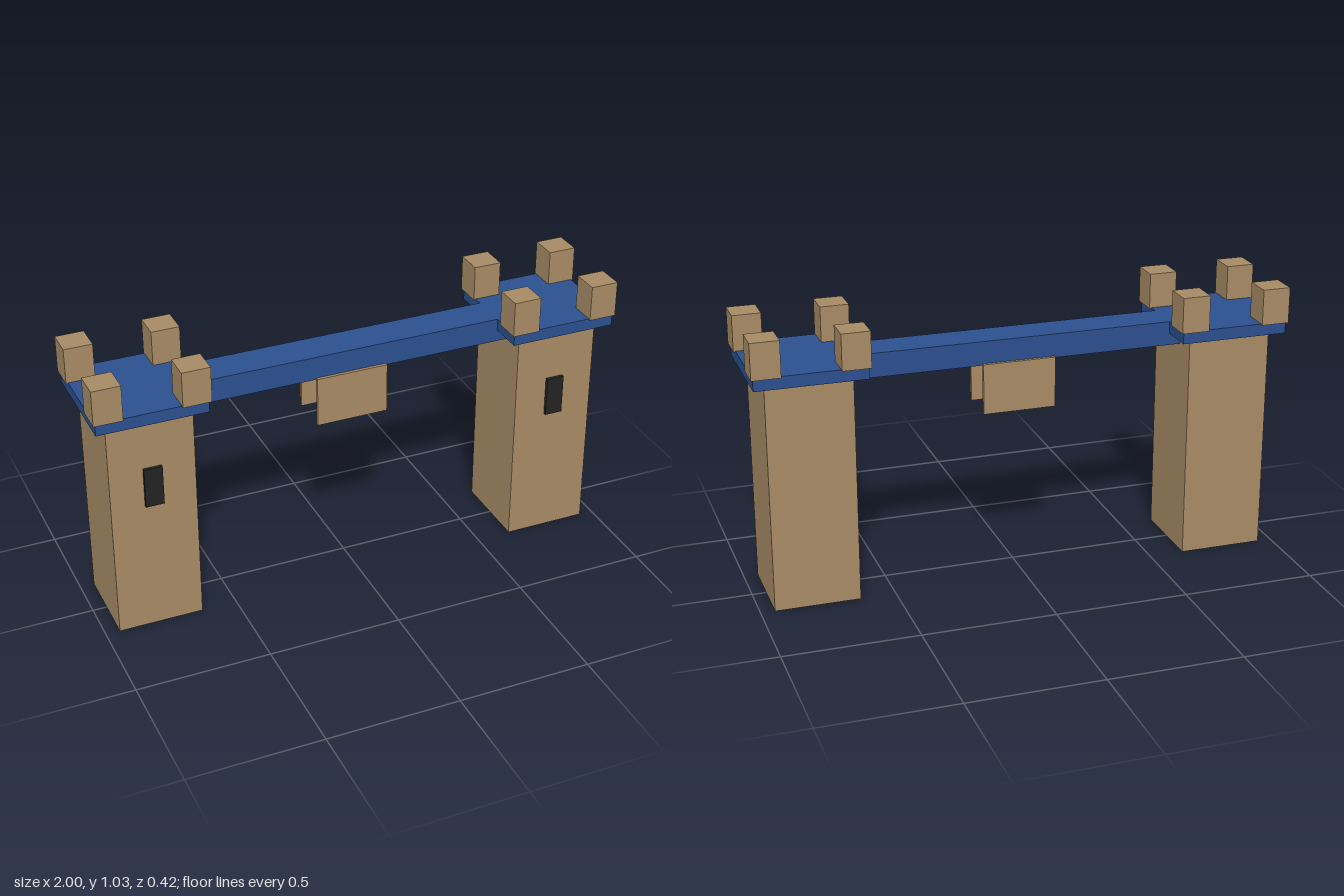
import * as THREE from 'three';

const sandstone = new THREE.MeshStandardMaterial({ name: 'sandstone', color: 0xa68a64 });
const deckBlue = new THREE.MeshStandardMaterial({ name: 'deckBlue', color: 0x2b4f8e });
const windowBlack = new THREE.MeshStandardMaterial({ name: 'windowBlack', color: 0x222222 });

// Adds a box given its size and centre
function addBox(parent, name, material, [w, h, d], [x, y, z]) {
  const mesh = new THREE.Mesh(new THREE.BoxGeometry(w, h, d), material);
  mesh.name = name;
  mesh.position.set(x, y, z);
  parent.add(mesh);
}

// Square tower with a wider deck, corner battlements and a front window
function createTower(name) {
  const tower = new THREE.Group();
  tower.name = name;
  addBox(tower, 'towerShaft', sandstone, [0.316, 0.857, 0.316], [0, 0.4285, 0]);
  addBox(tower, 'towerDeck', deckBlue, [0.406, 0.045, 0.406], [0, 0.8795, 0]);
  for (const sx of [-1, 1]) {
    for (const sz of [-1, 1]) {
      addBox(tower, 'battlement', sandstone, [0.105, 0.135, 0.105], [sx * 0.158, 0.966, sz * 0.158]);
    }
  }
  addBox(tower, 'window', windowBlack, [0.068, 0.152, 0.013], [0, 0.584, 0.1645]);
  return tower;
}

export function createModel() {
  const model = new THREE.Group();
  model.name = 'towerBridge';

  for (const side of [-1, 1]) {
    const tower = createTower(side > 0 ? 'leftTower' : 'rightTower');
    tower.position.x = side * 0.7895;
    model.add(tower);
  }

  // Walkway between the towers
  addBox(model, 'walkway', deckBlue, [1.266, 0.09, 0.142], [0, 0.857, 0]);

  // Thin panels hanging below the walkway, front and back
  for (const side of [-1, 1]) {
    addBox(model, 'hangingPanel', sandstone, [0.273, 0.19, 0.0135], [0, 0.723, side * 0.0765]);
  }
  return model;
}
